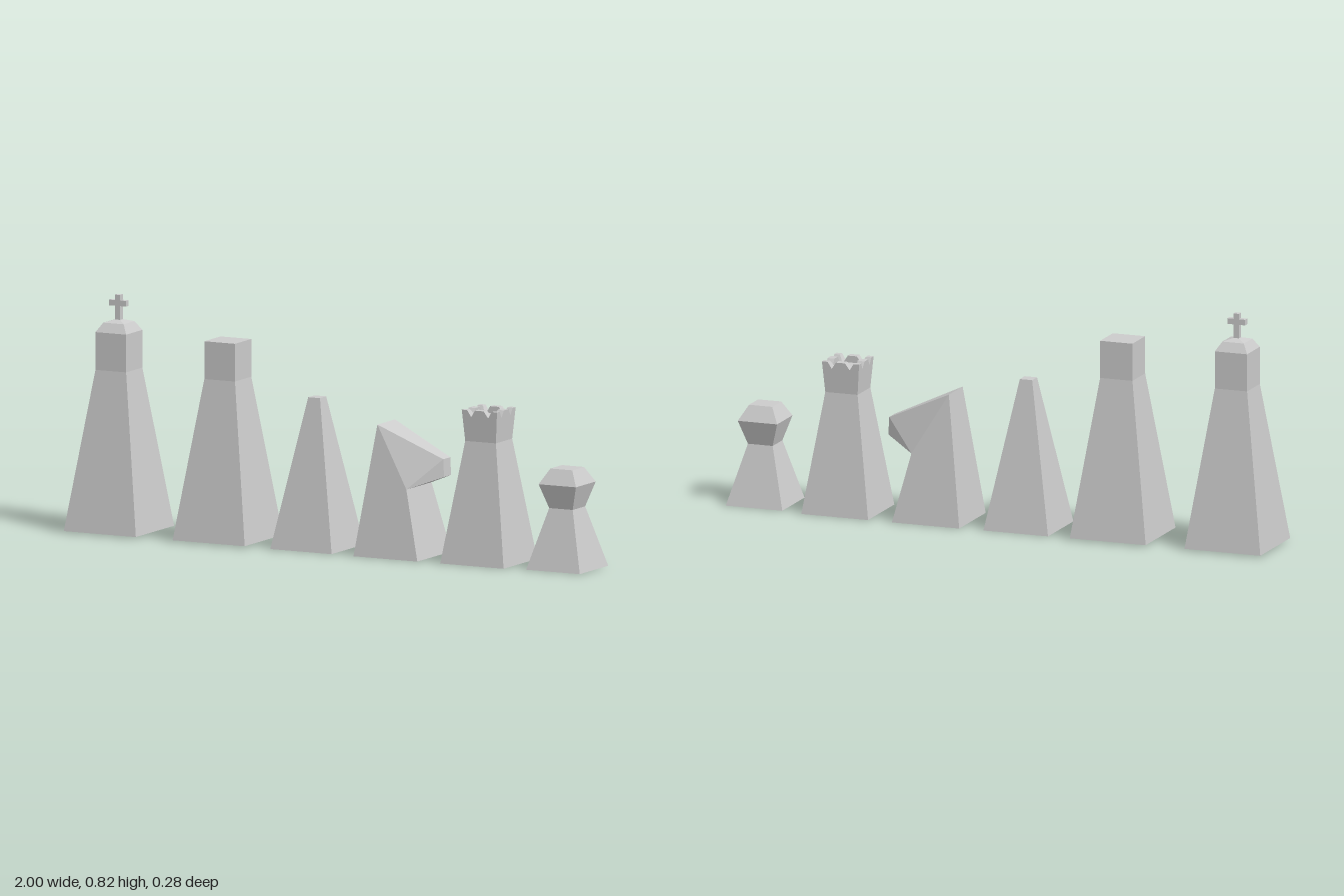
import * as THREE from 'three';
import { ConvexGeometry } from 'three/addons/geometries/ConvexGeometry.js';

const material = new THREE.MeshStandardMaterial({ color: 0xcccccc, flatShading: true });

function add(parent, name, geometry) {
  const mesh = new THREE.Mesh(geometry, material);
  mesh.name = name;
  parent.add(mesh);
  return mesh;
}

// Square tower from [halfWidth, y] levels, listed bottom to top and closed at both ends
function squareTower(levels) {
  const points = levels.map(([w, y]) => new THREE.Vector2(w * Math.SQRT2, y));
  points.unshift(new THREE.Vector2(0, levels[0][1]));
  points.push(new THREE.Vector2(0, levels[levels.length - 1][1]));
  const geometry = new THREE.LatheGeometry(points, 4, Math.PI / 4).toNonIndexed();
  geometry.computeVertexNormals();
  return geometry;
}

// Tapered block between two rectangles [x0, x1, z0, z1] at heights y0 and y1
function taperedBlock(bottom, y0, top, y1) {
  const points = [];
  for (const [[xa, xb, za, zb], y] of [[bottom, y0], [top, y1]])
    for (const x of [xa, xb]) for (const z of [za, zb]) points.push(new THREE.Vector3(x, y, z));
  return new ConvexGeometry(points);
}

// Convex solid mirrored in z from [x, y, halfZ] points
function mirroredHull(list) {
  return new ConvexGeometry(list.flatMap(([x, y, z]) =>
    [new THREE.Vector3(x, y, z), new THREE.Vector3(x, y, -z)]));
}

function piece(root, name, x) {
  const group = new THREE.Group();
  group.name = name;
  group.position.x = x;
  root.add(group);
  return group;
}

export function createModel() {
  const root = new THREE.Group();
  root.name = 'chessPieces';

  // King: tower with a sloped cap and a cross
  const king = piece(root, 'king', -0.859);
  add(king, 'kingBody', squareTower([
    [0.141, 0.006], [0.06, 0.565], [0.06, 0.697], [0.04, 0.729], [0.01, 0.738]]));
  add(king, 'crossPost', new THREE.BoxGeometry(0.02, 0.09, 0.02)).position.y = 0.78;
  for (const side of [-1, 1])
    add(king, 'crossArm', new THREE.BoxGeometry(0.023, 0.02, 0.02)).position.set(side * 0.0215, 0.796, 0);

  // Queen: plain tower with a flat top
  const queen = piece(root, 'queen', -0.433);
  add(queen, 'queenBody', squareTower([[0.141, 0.006], [0.06, 0.565], [0.06, 0.697]]));

  // Bishop: slim obelisk
  const bishop = piece(root, 'bishop', -0.083);
  add(bishop, 'bishopBody', squareTower([[0.12, 0], [0.023, 0.525]]));

  // Knight: leaning body with a tapered head pointing to +x
  const knight = piece(root, 'knight', 0.25);
  const crest = [-0.063, 0.457, 0.065];
  const jaw = [0.065, 0.243, 0.093];
  add(knight, 'knightBody', mirroredHull([[-0.125, 0, 0.125], [0.125, 0, 0.125], crest, jaw]));
  add(knight, 'knightHead', mirroredHull([crest, jaw, [0.174, 0.348, 0.026], [0.177, 0.286, 0.026]]));

  // Rook: flared crown with V-shaped notches around a hollow
  const rook = piece(root, 'rook', 0.588);
  add(rook, 'rookBody', squareTower([[0.124, 0], [0.06, 0.425], [0.067, 0.511]]));
  for (let i = 0; i < 4; i++) {
    const side = new THREE.Group();
    side.name = 'battlementSide';
    side.rotation.y = i * Math.PI / 2;
    add(side, 'middleMerlon', taperedBlock(
      [-0.033, 0.033, 0.043, 0.067], 0.511, [-0.017, 0.017, 0.043, 0.069], 0.535));
    add(side, 'cornerMerlon', taperedBlock(
      [0.033, 0.067, 0.033, 0.067], 0.511, [0.048, 0.069, 0.048, 0.069], 0.535));
    rook.add(side);
  }

  // Pawn: waisted body with a faceted head
  const pawn = piece(root, 'pawn', 0.895);
  add(pawn, 'pawnBody', squareTower([[0.105, 0], [0.046, 0.212], [0.073, 0.297], [0.043, 0.35]]));

  return root;
}
